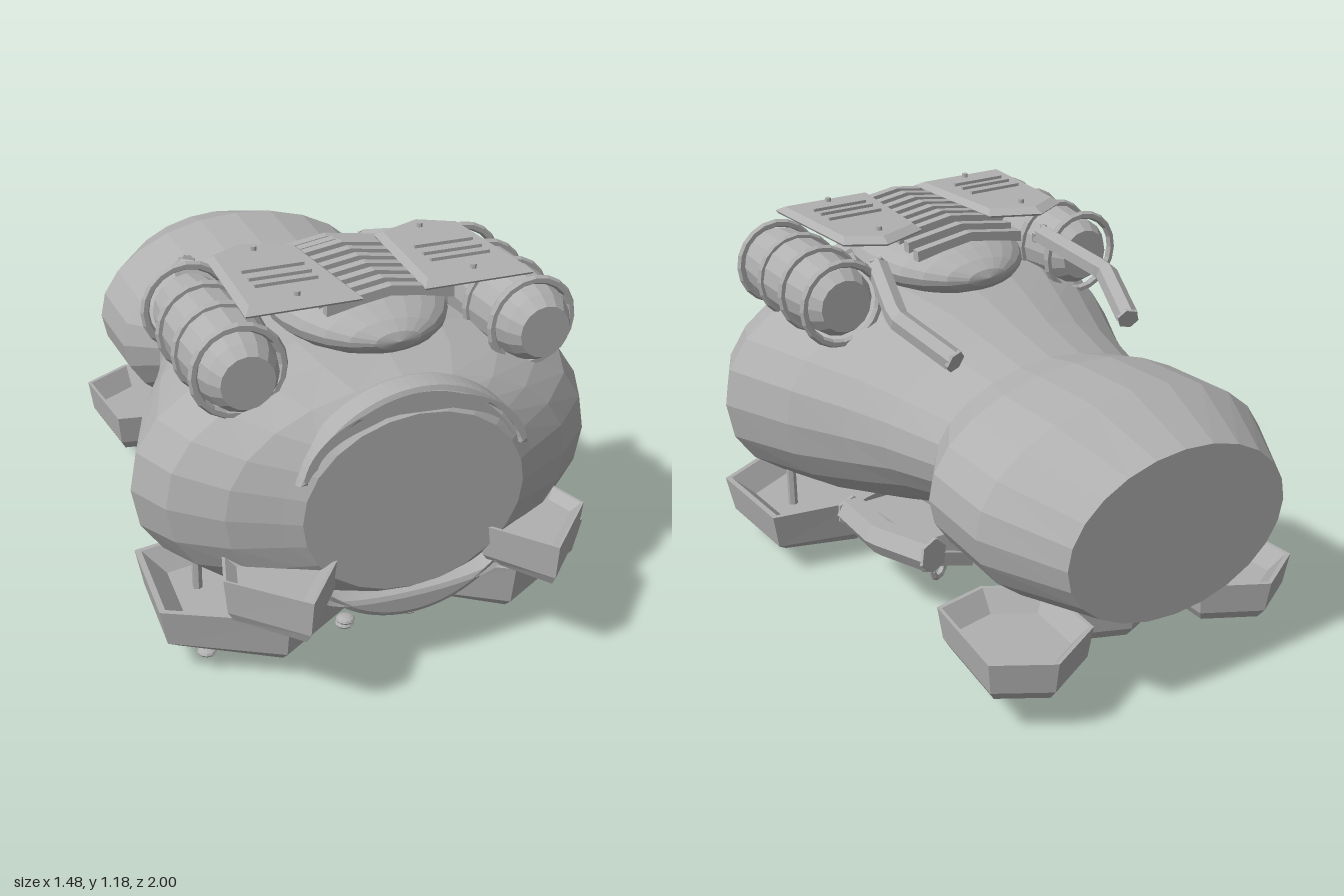
import * as THREE from 'three';

export function createModel() {
  const root = new THREE.Group();
  const grey = new THREE.MeshStandardMaterial({ color: 0xb0b0b0, flatShading: true });
  grey.name = 'hull grey';
  const add = (name, geo, x = 0, y = 0, z = 0) => {
    const m = new THREE.Mesh(geo, grey);
    m.name = name;
    m.position.set(x, y, z);
    root.add(m);
    return m;
  };

  // Skins a stack of closed rings and caps both ends
  function loft(rings) {
    const n = rings[0].length, pos = [];
    const tri = (...p) => p.forEach(v => pos.push(...v));
    for (let i = 0; i < rings.length - 1; i++) {
      for (let j = 0; j < n; j++) {
        const k = (j + 1) % n, [a, b] = [rings[i], rings[i + 1]];
        tri(a[j], a[k], b[k]);
        tri(a[j], b[k], b[j]);
      }
    }
    const mid = r => [0, 1, 2].map(c => r.reduce((s, p) => s + p[c], 0) / n);
    const first = rings[0], last = rings[rings.length - 1];
    for (let j = 0; j < n; j++) {
      const k = (j + 1) % n;
      tri(mid(first), first[k], first[j]);
      tri(mid(last), last[j], last[k]);
    }
    const g = new THREE.BufferGeometry();
    g.setAttribute('position', new THREE.Float32BufferAttribute(pos, 3));
    g.computeVertexNormals();
    return g;
  }

  // Hull: z, half width, half height, centre height, squareness exponent
  const power = (v, e) => Math.sign(v) * Math.abs(v) ** e;
  const hull = [
    [-1, 0.385, 0.265, 0.575, 1], [-0.75, 0.52, 0.325, 0.595, 1], [-0.48, 0.51, 0.315, 0.59, 1],
    [-0.35, 0.415, 0.255, 0.62, 1], [-0.15, 0.475, 0.3, 0.61, 1], [0, 0.54, 0.345, 0.6, 0.96],
    [0.2, 0.64, 0.38, 0.59, 0.9], [0.46, 0.74, 0.4, 0.58, 0.88], [0.6, 0.675, 0.38, 0.58, 0.9],
    [0.72, 0.54, 0.345, 0.58, 0.95], [0.79, 0.4, 0.31, 0.58, 1], [0.82, 0.345, 0.285, 0.58, 1],
  ].map(([z, w, h, y, e]) => Array.from({ length: 24 }, (_, i) => {
    const a = (i / 24) * Math.PI * 2;
    return [w * power(Math.cos(a), e), y + h * power(Math.sin(a), e), z];
  }));
  add('hull', loft(hull));

  // Crescent lips around the front opening, rounded on the outside
  const lipOptions = { depth: 0.05, bevelEnabled: true, bevelSize: 0.02, bevelOffset: -0.02, bevelThickness: 0.022, bevelSegments: 2, curveSegments: 16 };
  const upper = new THREE.Shape();
  upper.absarc(0, 0.575, 0.38, 0.34, Math.PI - 0.34, false);
  upper.absellipse(0, 0.702, 0.325, 0.2, Math.PI, 0, true);
  add('upperLip', new THREE.ExtrudeGeometry(upper, lipOptions), 0, 0, 0.755);
  const upperInner = new THREE.Shape();
  upperInner.absarc(0, 0.575, 0.35, 0.45, Math.PI - 0.45, false);
  upperInner.absellipse(0, 0.727, 0.3, 0.135, Math.PI, 0, true);
  add('upperLipInner', new THREE.ExtrudeGeometry(upperInner, { depth: 0.07, bevelEnabled: false, curveSegments: 16 }), 0, 0, 0.74);
  const lower = new THREE.Shape();
  lower.absarc(0, 0.575, 0.38, 3.85, 5.575, false);
  lower.absellipse(0, 0.327, 0.27, 0.045, 0, Math.PI, true);
  add('lowerLip', new THREE.ExtrudeGeometry(lower, lipOptions), 0, 0, 0.755);

  // Dished landing pad from a floor outline
  function pad(name, outline, top, bottom, floor, side = 1, sag = 0) {
    const pts = outline.map(([x, z]) => [x * side, z]);
    if (side < 0) pts.reverse();
    const cx = pts.reduce((s, p) => s + p[0], 0) / pts.length;
    const cz = pts.reduce((s, p) => s + p[1], 0) / pts.length;
    const ring = (k, y, drop = 0) => pts.map(([x, z]) =>
      [cx + (x - cx) * k, y + drop * Math.min(1, Math.abs(x - cx) * 4), cz + (z - cz) * k]);
    add(name, loft([ring(0.82, bottom, sag), ring(0.93, bottom + 0.035, sag * 0.6), ring(1, top), ring(0.94, top), ring(0.72, floor)]));
  }
  const frontPad = [[0.38, 0.995], [0.575, 0.8], [0.54, 0.68], [0.38, 0.66], [0.225, 0.8]];
  const footPad = [[0.37, 0.78], [0.71, 0.6], [0.69, 0.25], [0.39, 0.2], [0.07, 0.3], [0.07, 0.6]];
  const rearPad = [[0.36, -0.52], [0.53, -0.55], [0.56, -0.88], [0.39, -0.98], [0.2, -0.88], [0.19, -0.62]];
  const tailPad = [[0, -0.38], [0.21, -0.5], [0.2, -0.74], [0, -0.82], [-0.2, -0.74], [-0.21, -0.5]];
  pad('tailPad', tailPad, 0.24, 0.115, 0.18);

  // Dome on the back, with its facets fanning out from the nose
  add('dome', new THREE.SphereGeometry(1, 20, 12).rotateX(Math.PI / 2), 0, 1.025, 0.34).scale.set(0.268, 0.105, 0.345);

  // Chevron ribs along the spine
  const chevron = new THREE.Shape([
    [-0.195, 1.105], [-0.1, 1.125], [0, 1.14], [0.1, 1.125], [0.195, 1.105],
    [0.195, 1.14], [0, 1.17], [-0.195, 1.14],
  ].map(p => new THREE.Vector2(...p)));
  const ribGeo = new THREE.ExtrudeGeometry(chevron, { depth: 0.03, bevelEnabled: false });
  for (let i = 0; i < 9; i++) {
    const drop = Math.max(0, 2 - i) * 0.012;
    add('spineRib', ribGeo, 0, -drop, 0.11 + i * 0.06);
  }

  // Chain of straight six-sided pipe lengths
  const pipe = (name, points, r) => {
    const path = new THREE.CurvePath();
    const v = points.map(p => new THREE.Vector3(...p));
    for (let i = 1; i < v.length; i++) path.add(new THREE.LineCurve3(v[i - 1], v[i]));
    add(name, new THREE.TubeGeometry(path, 16, r, 6));
    [[v[0], v[1]], [v[v.length - 1], v[v.length - 2]]].forEach(([end, inner]) => {
      const cap = add(name + 'Cap', new THREE.CylinderGeometry(r, r, 0.012, 6), ...end);
      cap.quaternion.setFromUnitVectors(new THREE.Vector3(0, 1, 0), end.clone().sub(inner).normalize());
    });
  };

  // Back canister profile, and armour plate outline
  const barrel = new THREE.LatheGeometry([
    [0, -0.29], [0.085, -0.29], [0.11, -0.25], [0.128, -0.1], [0.13, 0.08], [0.122, 0.2], [0.105, 0.26], [0.08, 0.3], [0, 0.3],
  ].map(p => new THREE.Vector2(...p)), 16).rotateX(Math.PI / 2);
  const bandGeo = new THREE.TorusGeometry(0.132, 0.014, 6, 20);
  const boltGeo = new THREE.SphereGeometry(0.03, 10, 6).scale(1, 0.42, 1);
  const plateOutline = [[0.093, 0.64], [0.44, 0.64], [0.412, 0.2], [0.29, 0.13], [0.128, 0.2]];

  for (const s of [1, -1]) {
    pad('frontPad', frontPad, 0.44, 0.288, 0.415, s, 0.02);
    pad('frontFoot', footPad, 0.235, 0.065, 0.165, s, 0.02);
    pad('rearFoot', rearPad, 0.27, 0.13, 0.205, s);
    add('footStrut', new THREE.CylinderGeometry(0.016, 0.016, 0.14, 6), s * 0.54, 0.24, 0.42);

    // Bolts under the front feet
    for (const [x, y, z] of [[0.57, 0.062, 0.6], [0.57, 0.072, 0.34], [0.12, 0.06, 0.6], [0.12, 0.065, 0.34], [0.11, 0.022, 0.57]]) {
      add('footBolt', boltGeo, s * x, y, z);
    }

    // Canister with four bands
    add('canister', barrel, s * 0.455, 0.985, 0.4);
    for (const z of [0.14, 0.3, 0.455, 0.615]) add('canisterBand', bandGeo, s * 0.455, 0.985, z);

    // Armour plate with slots and rivets
    const pts = plateOutline.map(([x, z]) => [s * x, z]);
    if (s < 0) pts.reverse();
    const at = (k, y) => pts.map(([x, z]) => [s * 0.27 + (x - s * 0.27) * k, y, 0.4 + (z - 0.4) * k]);
    add('armourPlate', loft([at(0.97, 1.145), at(1, 1.153), at(0.87, 1.17)]));
    for (const z of [0.39, 0.45, 0.5]) add('plateSlot', new THREE.BoxGeometry(0.19, 0.01, 0.012), s * 0.27, 1.178, z);
    for (const z of [0.225, 0.585]) add('plateRivet', new THREE.CylinderGeometry(0.01, 0.01, 0.016, 8), s * 0.27, 1.175, z);

    // Exhaust and the pod slung below the waist
    pipe('exhaust', [[s * 0.31, 1.07, 0.17], [s * 0.39, 1.0, -0.1], [s * 0.32, 0.925, -0.315]], 0.036);
    pipe('sidePod', [[s * 0.46, 0.255, 0.12], [s * 0.48, 0.28, -0.12], [s * 0.42, 0.305, -0.34]], 0.055);

    // Hose coils and slats inside each pod
    for (let i = 0; i < 7; i++) {
      const z = 0.07 - i * 0.065, y = 0.205 + i * 0.005;
      add('podCoil', new THREE.TorusGeometry(0.034, 0.011, 5, 10), s * 0.39, y + 0.01, z).rotation.y = s * 0.5;
      add('podSlat', new THREE.BoxGeometry(0.13, 0.045, 0.03), s * 0.33, y + 0.025, z).rotation.z = s * 0.3;
    }
    add('podMount', new THREE.BoxGeometry(0.16, 0.08, 0.4), s * 0.36, 0.285, -0.12).rotation.x = 0.12;
  }

  // Belly turrets under a flat mount
  const turret = (pairs, x, y, z) => add('bellyTurret',
    new THREE.LatheGeometry(pairs.map(p => new THREE.Vector2(...p)), 16), x, y, z);
  turret([[0, 0], [0.02, 0.004], [0.06, 0.015], [0.066, 0.028], [0.055, 0.04], [0.035, 0.045], [0.04, 0.06],
    [0.1, 0.075], [0.13, 0.095], [0.12, 0.115], [0.06, 0.13], [0.06, 0.2]], 0, 0, 0.05);
  turret([[0, 0], [0.06, 0.005], [0.08, 0.025], [0.07, 0.045], [0.04, 0.055], [0.04, 0.2]], 0, 0.115, -0.08);
  add('bellyMount', new THREE.CylinderGeometry(0.21, 0.17, 0.16, 12), 0, 0.22, 0.15);
  return root;
}
